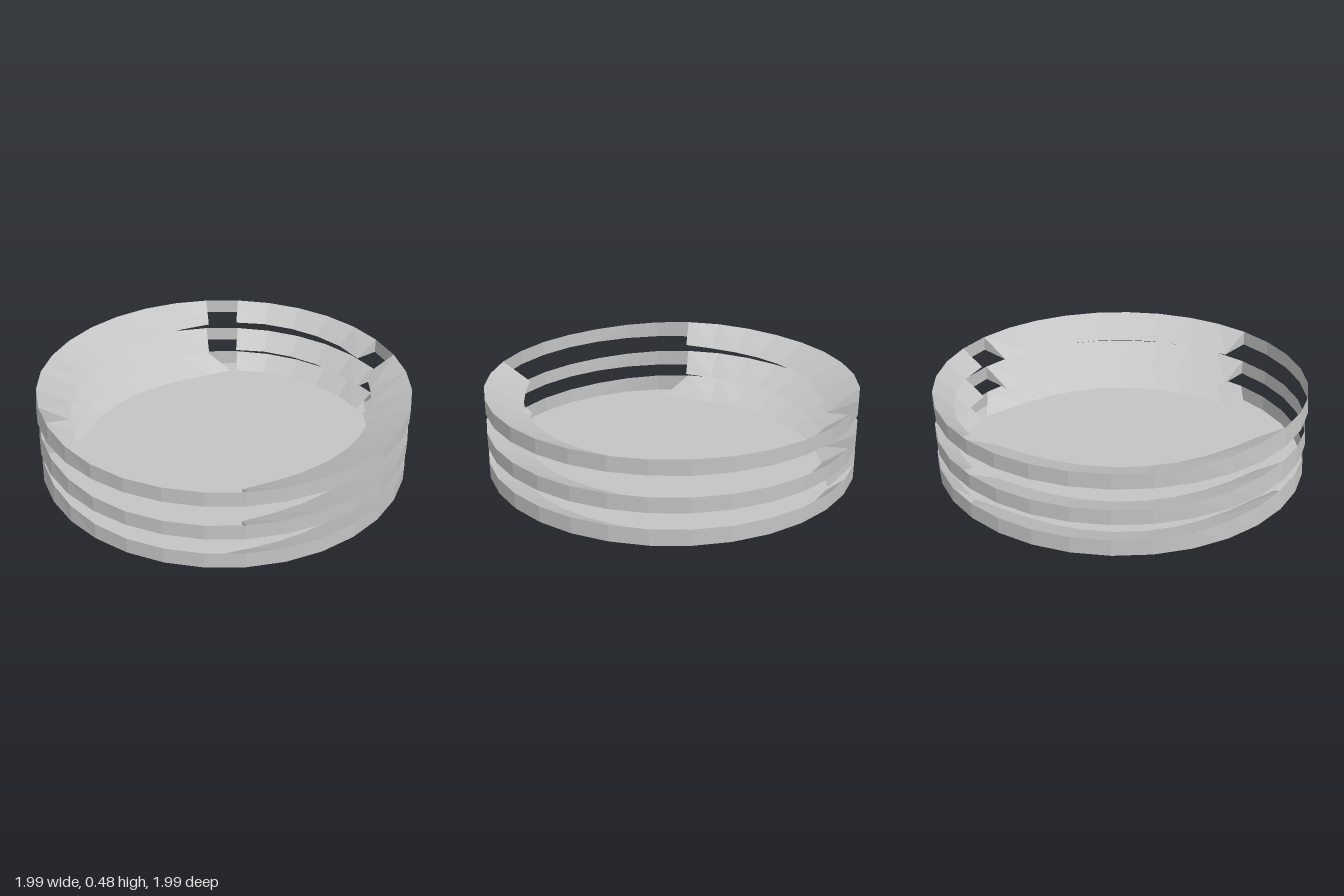
import * as THREE from 'three';

const SIDES = 32, R = 0.995;

// Point at a step around the circle (step 0 is +x, step 8 is +z)
function polar(step, r, y) {
  const a = (step / SIDES) * Math.PI * 2;
  return [r * Math.cos(a), y, r * Math.sin(a)];
}

// Slight upward bend of the rim on its left front part
function lift(step) {
  const k = ((step % SIDES) + SIDES) % SIDES;
  return Math.abs(k - 14) < 4 ? 0.0085 * (1 + Math.cos(((k - 14) * Math.PI) / 4)) : 0;
}
const rimTop = (k, y) => polar(k, R - 0.7 * lift(k), y + lift(k));

function fromTriangles(points) {
  const g = new THREE.BufferGeometry();
  g.setAttribute('position', new THREE.Float32BufferAttribute(points.flat(), 3));
  g.computeVertexNormals();
  return g;
}
const quad = (a, b, c, d) => [a, b, c, a, c, d];

// Thin faceted band
function band(y0, y1) {
  const pts = [];
  for (let k = 0; k < SIDES; k++) {
    pts.push(...quad(polar(k, R, y0), rimTop(k, y1), rimTop(k + 1, y1), polar(k + 1, R, y0)));
  }
  return fromTriangles(pts);
}

// Wedge ramp from the rim's top down to an inner lip
function ramp(y0, y1, arc, isBottom) {
  const { from, to, mid, end, drop, tips } = arc;
  const pts = [];
  const inner = (k) => {
    const u = (2 * (k - from)) / (to - from) - 1;
    return polar(k, mid + (end - mid) * u ** 4, y0 - drop);
  };
  for (let k = from; k < to; k++) {
    pts.push(...quad(rimTop(k, y1), rimTop(k + 1, y1), inner(k + 1), inner(k)));
    if (!isBottom) pts.push(...quad(polar(k, R, y0), inner(k), inner(k + 1), polar(k + 1, R, y0)));
  }
  if (isBottom) {
    // Pointed ends resting on the floor
    const [t0, t1] = tips.map((k) => polar(k, 0.893, y0 - drop * 0.5));
    pts.push(rimTop(from, y1), inner(from), t0);
    pts.push(rimTop(to, y1), t1, inner(to));
  } else {
    // Upright triangular ends
    pts.push(rimTop(from, y1), inner(from), polar(from, R, y0));
    pts.push(rimTop(to, y1), polar(to, R, y0), inner(to));
  }
  return fromTriangles(pts);
}

export function createModel() {
  const grey = new THREE.MeshStandardMaterial({ color: 0xc4c4c4, side: THREE.DoubleSide, flatShading: true });
  grey.name = 'light grey';
  const model = new THREE.Group();
  model.name = 'ringTray';
  const add = (parent, name, geometry) => {
    const mesh = new THREE.Mesh(geometry, grey);
    mesh.name = name;
    parent.add(mesh);
    return mesh;
  };

  // Floor disc, with its corners on the rim's corners
  const floor = new THREE.CircleGeometry(R, SIDES).rotateX(-Math.PI / 2);
  add(model, 'floor', floor).position.y = 0.02;

  const arcs = [
    { name: 'rightRamp', from: -2, to: 7, mid: 0.787, end: 0.835, drop: 0.02, tips: [-2.8, 7.8] },
    { name: 'leftRamp', from: 14, to: 23, mid: 0.787, end: 0.835, drop: 0.004, tips: [13.2, 23.8] },
    { name: 'backRamp', from: 24, to: 29, mid: 0.888, end: 0.875, drop: 0.012, tips: [23.95, 28.6] },
  ];

  // Three stacked rings, each with three ramps
  [[0.02, 0.105], [0.19, 0.27], [0.38, 0.46]].forEach(([y0, y1], i) => {
    const ring = new THREE.Group();
    ring.name = ['lowerRing', 'middleRing', 'upperRing'][i];
    add(ring, 'band', band(y0, y1));
    for (const arc of arcs) {
      const shape = i === 0 && arc.name === 'backRamp' ? { ...arc, drop: 0.02 } : arc;
      add(ring, arc.name, ramp(y0, y1, shape, i === 0));
    }
    model.add(ring);
  });
  return model;
}
